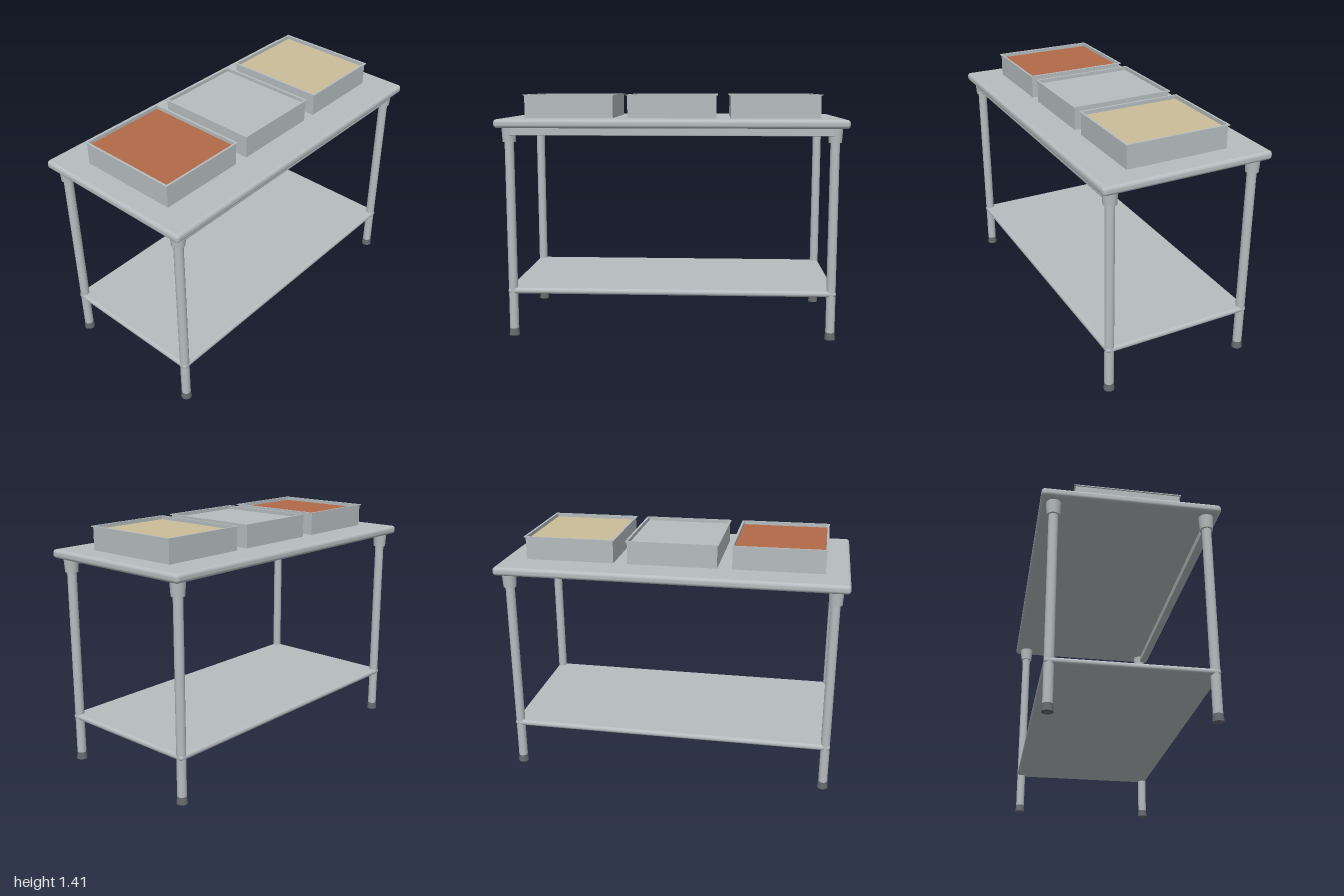
import * as THREE from 'three';
import { RoundedBoxGeometry } from 'three/addons/geometries/RoundedBoxGeometry.js';

const mat = (name, color) => {
  const m = new THREE.MeshStandardMaterial({ color });
  m.name = name;
  return m;
};

export function createModel() {
  const steel = mat('steel', 0xb6bcbf);
  const rubber = mat('dark rubber', 0x666a6d);
  const sauce = mat('red sauce', 0xb26a49);
  const grain = mat('tan grain', 0xcbbd9a);

  const root = new THREE.Group();
  root.name = 'servingTable';
  const add = (parent, name, geometry, material, x = 0, y = 0, z = 0) => {
    const mesh = new THREE.Mesh(geometry, material);
    mesh.name = name;
    mesh.position.set(x, y, z);
    parent.add(mesh);
    return mesh;
  };

  // Worktop and lower shelf with rolled edges
  add(root, 'worktop', new RoundedBoxGeometry(2, 0.05, 1, 5, 0.02), steel, 0, 1.245, 0);
  add(root, 'lowerShelf', new RoundedBoxGeometry(1.904, 0.034, 0.908, 5, 0.0165), steel, 0, 0.269, 0);

  // Support rail under the front edge
  add(root, 'frontRail', new RoundedBoxGeometry(1.85, 0.045, 0.04, 2, 0.004), steel, 0, 1.2, 0.446);

  // Legs with sockets and tapered feet
  for (const sx of [-1, 1]) for (const sz of [-1, 1]) {
    const leg = new THREE.Group();
    leg.name = (sz > 0 ? 'front' : 'back') + (sx > 0 ? 'Left' : 'Right') + 'Leg';
    leg.position.set(sx * 0.925, 0, sz * 0.427);
    add(leg, 'tube', new THREE.CylinderGeometry(0.0265, 0.0265, 1.19, 32), steel, 0, 0.635, 0);
    add(leg, 'socket', new THREE.CylinderGeometry(0.042, 0.037, 0.08, 32), steel, 0, 1.18, 0);
    add(leg, 'foot', new THREE.CylinderGeometry(0.0265, 0.031, 0.042, 32), rubber, 0, 0.021, 0);
    root.add(leg);
  }

  // Rectangular frame extruded upwards
  const frame = (w, d, iw, id, h) => {
    const rect = (Kind, a, b) => {
      const p = new Kind();
      p.moveTo(-a / 2, -b / 2).lineTo(a / 2, -b / 2).lineTo(a / 2, b / 2).lineTo(-a / 2, b / 2).closePath();
      return p;
    };
    const shape = rect(THREE.Shape, w, d);
    shape.holes.push(rect(THREE.Path, iw, id));
    return new THREE.ExtrudeGeometry(shape, { depth: h, bevelEnabled: false }).rotateX(-Math.PI / 2);
  };

  // Three pans with thin lips, filled just below the brim
  [['right', -0.603, sauce], ['middle', 0, steel], ['left', 0.6, grain]].forEach(([side, x, fill]) => {
    const pan = new THREE.Group();
    pan.name = side + 'Pan';
    pan.position.set(x, 1.268, 0);
    add(pan, 'walls', frame(0.518, 0.6, 0.508, 0.59, 0.133), steel);
    add(pan, 'lip', frame(0.534, 0.614, 0.508, 0.59, 0.006), steel, 0, 0.132, 0);
    add(pan, 'filling', new THREE.BoxGeometry(0.508, 0.115, 0.59), fill, 0, 0.0595, 0);
    root.add(pan);
  });

  return root;
}
